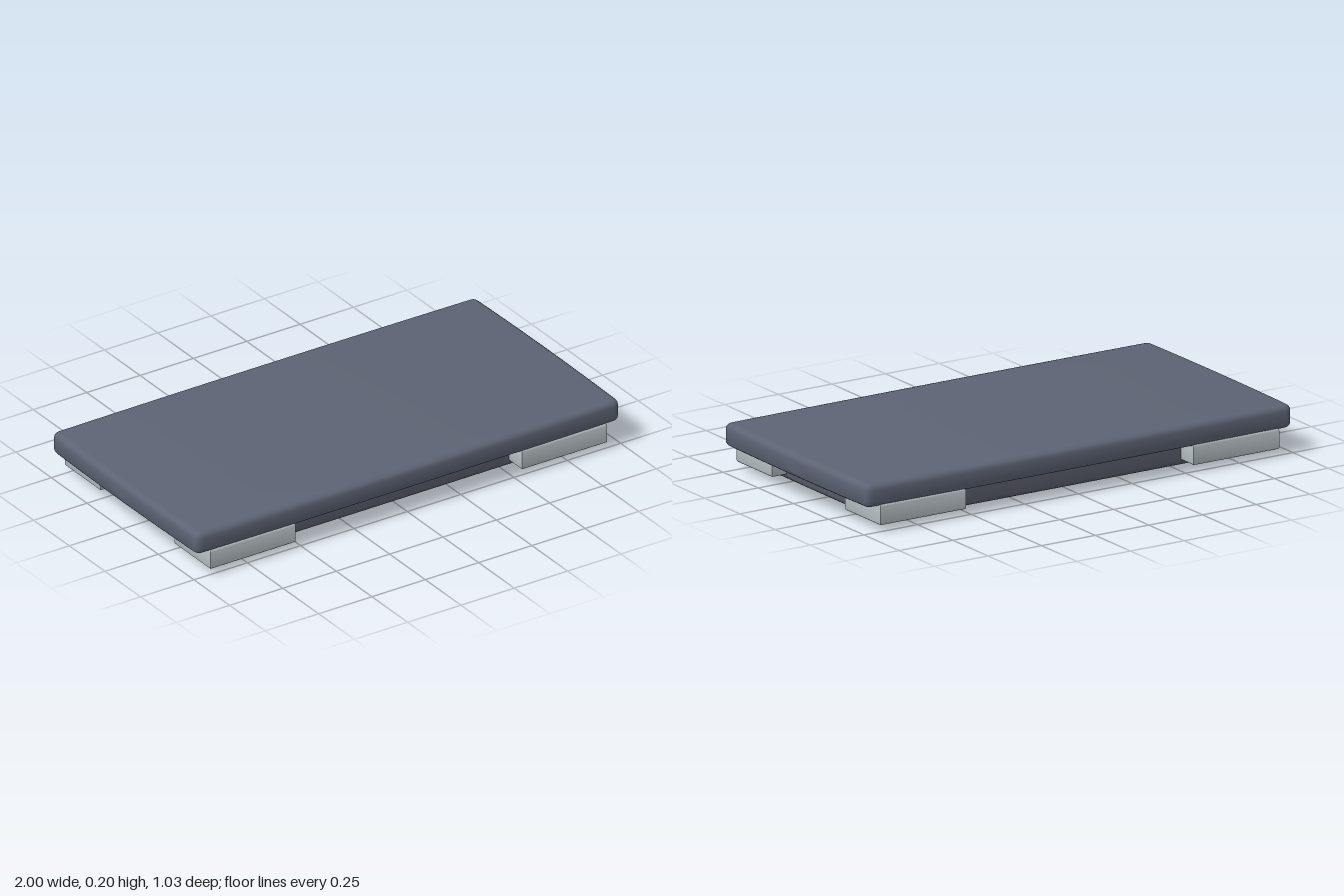
import * as THREE from 'three';
import { toCreasedNormals } from 'three/addons/utils/BufferGeometryUtils.js';

const slate = new THREE.MeshStandardMaterial({ color: 0x5c6373 });
slate.name = 'slate';
const darkSlate = new THREE.MeshStandardMaterial({ color: 0x595c6a });
darkSlate.name = 'dark slate';
const paleGrey = new THREE.MeshStandardMaterial({ color: 0xb4bdc1 });
paleGrey.name = 'pale grey';

// Rectangle outline with rounded corners and sides bowed gently outwards
function bowedOutline(hx, hz, r, bow) {
  const s = new THREE.Shape();
  s.moveTo(-hx + r, -hz);
  s.quadraticCurveTo(0, -hz - 2 * bow, hx - r, -hz);
  s.quadraticCurveTo(hx, -hz, hx, -hz + r);
  s.quadraticCurveTo(hx + 2 * bow, 0, hx, hz - r);
  s.quadraticCurveTo(hx, hz, hx - r, hz);
  s.quadraticCurveTo(0, hz + 2 * bow, -hx + r, hz);
  s.quadraticCurveTo(-hx, hz, -hx, hz - r);
  s.quadraticCurveTo(-hx - 2 * bow, 0, -hx, -hz + r);
  s.quadraticCurveTo(-hx, -hz, -hx + r, -hz);
  return s;
}

// Flat part between two heights with rolled edges; the shape is drawn in x and z
function plate(name, shape, y0, y1, bevel, material, segments = 4) {
  let geo = new THREE.ExtrudeGeometry(shape, {
    depth: y1 - y0 - 2 * bevel, curveSegments: 10,
    bevelEnabled: true, bevelThickness: bevel, bevelSize: bevel,
    bevelOffset: -bevel, bevelSegments: segments,
  });
  geo.rotateX(Math.PI / 2);
  geo.translate(0, y1 - bevel, 0);
  geo = toCreasedNormals(geo, 0.6);
  const mesh = new THREE.Mesh(geo, material);
  mesh.name = name;
  return mesh;
}

// L-shaped corner bracket, drawn for any of the four corners
function bracketShape(sx, sz) {
  const pts = [
    [0.53, 0.51], [0.53, 0.40], [0.83, 0.40],
    [0.83, 0.26], [0.93, 0.26], [0.93, 0.51],
  ].map(([x, z]) => new THREE.Vector2(x * sx, z * sz));
  return new THREE.Shape(pts);
}

export function createModel() {
  const model = new THREE.Group();
  model.name = 'plateModule';

  // Thick top slab with rolled edges
  model.add(plate('topSlab', bowedOutline(0.994, 0.511, 0.035, 0.006), 0.105, 0.2, 0.025, slate));

  // Lower body with a chamfered underside
  model.add(plate('lowerBody', bowedOutline(0.86, 0.42, 0.03, 0.002), 0.006, 0.13, 0.02, darkSlate));

  // Slightly raised panel on the underside
  model.add(plate('bottomPanel', bowedOutline(0.83, 0.39, 0.015, 0.001), 0, 0.008, 0.003, slate, 1));

  // Four corner brackets
  for (const [sx, side] of [[1, 'Left'], [-1, 'Right']]) {
    for (const [sz, end] of [[1, 'front'], [-1, 'back']]) {
      model.add(plate(`${end}${side}Bracket`, bracketShape(sx, sz), 0.028, 0.112, 0.008, paleGrey, 3));
    }
  }
  return model;
}
